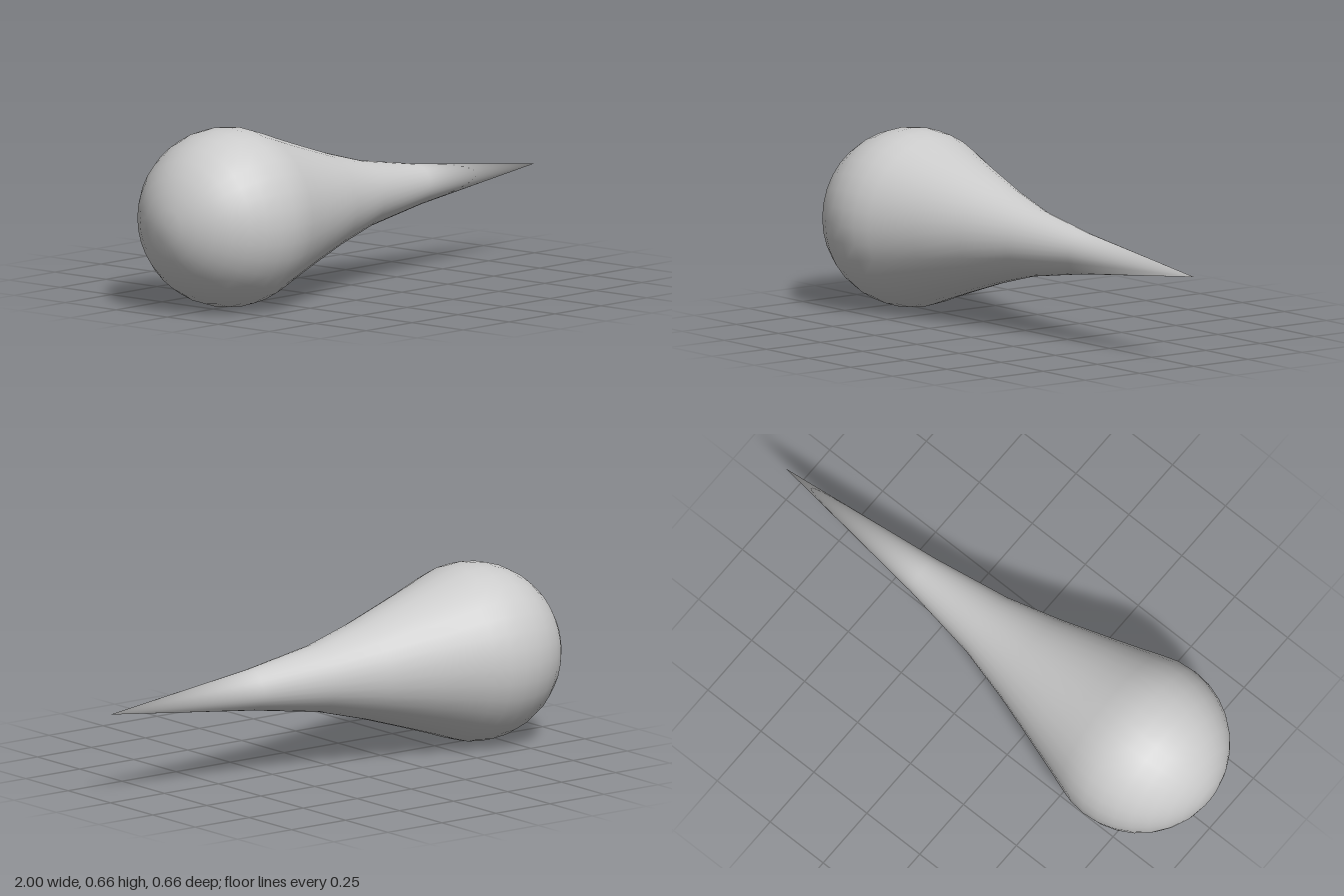
import * as THREE from 'three';
import { mergeVertices } from 'three/addons/utils/BufferGeometryUtils.js';

const RADIUS = 0.33;

export function createModel() {
  const group = new THREE.Group();
  group.name = 'teardrop';

  // Round head: arc from the rear pole to just past the widest ring
  const profile = [];
  for (let i = 0; i <= 10; i++) {
    const a = (i * Math.PI) / 16;
    profile.push(new THREE.Vector2(RADIUS * Math.sin(a), -0.67 - RADIUS * Math.cos(a)));
  }
  // Tapering tail: [x, radius], ending in a point
  const tail = [[-0.47, 0.279], [-0.36, 0.243], [-0.16, 0.18], [0.05, 0.124], [0.35, 0.076], [1, 0]];
  for (const [x, r] of tail) profile.push(new THREE.Vector2(r, x));

  // Welded so that normals run smoothly over the poles and seam
  let geometry = new THREE.LatheGeometry(profile, 32);
  geometry.deleteAttribute('uv');
  geometry.deleteAttribute('normal');
  geometry = mergeVertices(geometry, 1e-4);
  geometry.rotateZ(-Math.PI / 2);
  geometry.computeVertexNormals();

  const body = new THREE.Mesh(geometry, new THREE.MeshStandardMaterial({ color: 0xcccccc }));
  body.name = 'teardropBody';
  body.position.y = RADIUS;
  group.add(body);
  return group;
}
